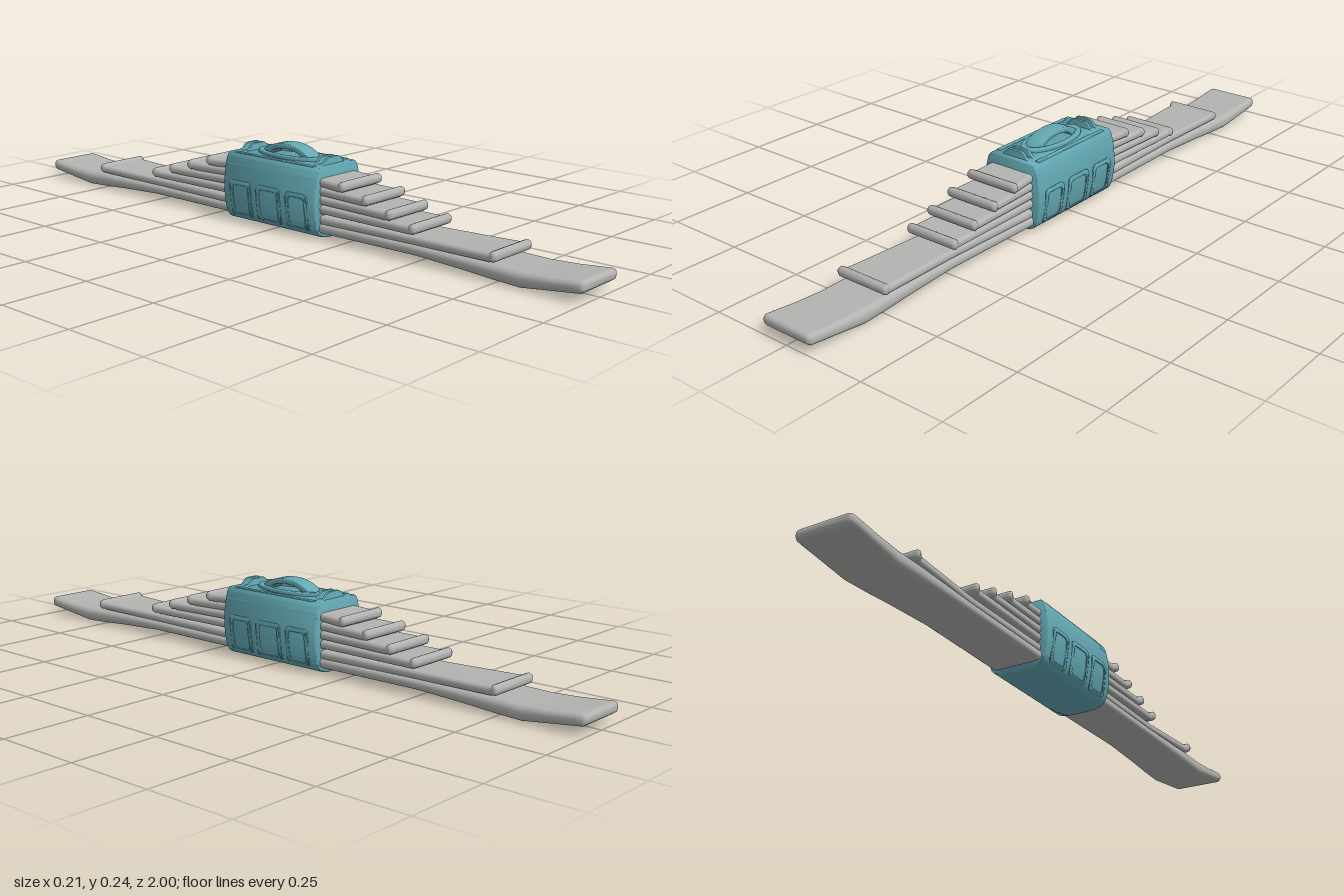
import * as THREE from 'three';
import { toCreasedNormals } from 'three/addons/utils/BufferGeometryUtils.js';

const steel = new THREE.MeshStandardMaterial({ color: 0xb3b4b2 });
steel.name = 'pale grey leaves';
const teal = new THREE.MeshStandardMaterial({ color: 0x63a9b4 });
teal.name = 'teal clamp';

// Soft rounded bar through stations [z, halfWidth, bottom, top], z increasing
function loft(stations) {
  const n = 28, pos = [], idx = [];
  const addRing = ([z, w, y0, y1]) => {
    const h = (y1 - y0) / 2, r = Math.min(h, w) * 0.85;
    for (let i = 0; i < n; i++) {
      const q = Math.floor(i / (n / 4)), a = (q + (i % (n / 4)) / (n / 4 - 1)) * Math.PI / 2;
      const sx = q === 0 || q === 3 ? 1 : -1, sy = q < 2 ? 1 : -1;
      pos.push(sx * (w - r) + r * Math.cos(a), (y0 + y1) / 2 + sy * (h - r) + r * Math.sin(a), z);
    }
  };
  stations.forEach(addRing);
  for (let s = 0; s < stations.length - 1; s++) {
    for (let i = 0; i < n; i++) {
      const a = s * n + i, b = s * n + (i + 1) % n;
      idx.push(a, b, a + n, b, b + n, a + n);
    }
  }
  // End caps
  const last = (stations.length - 1) * n;
  for (let i = 1; i < n - 1; i++) idx.push(0, i + 1, i, last, last + i, last + i + 1);
  const g = new THREE.BufferGeometry();
  g.setAttribute('position', new THREE.Float32BufferAttribute(pos, 3));
  g.setIndex(idx);
  g.computeVertexNormals();
  return g;
}

// Mirror the +z half of a leaf to get the full bar
const mirrored = half => [...half.slice().reverse().map(([z, ...r]) => [-z, ...r]), ...half];

function roundedRect(shape, x0, y0, x1, y1, r) {
  shape.moveTo(x0 + r, y0);
  shape.lineTo(x1 - r, y0);
  shape.quadraticCurveTo(x1, y0, x1, y0 + r);
  shape.lineTo(x1, y1 - r);
  shape.quadraticCurveTo(x1, y1, x1 - r, y1);
  shape.lineTo(x0 + r, y1);
  shape.quadraticCurveTo(x0, y1, x0, y1 - r);
  shape.lineTo(x0, y0 + r);
  shape.quadraticCurveTo(x0, y0, x0 + r, y0);
  return shape;
}

// Clamp half-profile [halfWidth, y] and its half-width at a height
const profile = [[0.042, 0], [0.07, 0.008], [0.087, 0.027], [0.096, 0.065], [0.099, 0.1],
  [0.097, 0.135], [0.091, 0.17], [0.083, 0.193], [0.074, 0.202]];
function halfWidth(y) {
  for (let i = 1; i < profile.length; i++) {
    const [w0, a] = profile[i - 1], [w1, b] = profile[i];
    if (y <= b) return w0 + (w1 - w0) * (y - a) / (b - a);
  }
  return 0.074;
}

// Extrude a profile along its third axis with a soft bevel, centred
function extrude(shape, depth, bevel) {
  const g = new THREE.ExtrudeGeometry(shape, {
    depth: depth - 2 * bevel, bevelEnabled: true, bevelThickness: bevel, bevelSize: bevel,
    bevelOffset: -bevel, bevelSegments: 3, curveSegments: 12,
  });
  g.translate(0, 0, -(depth - 2 * bevel) / 2);
  return g;
}

export function createModel() {
  const model = new THREE.Group();
  model.name = 'leafSpring';
  const add = (name, geometry, material, parent = model) => {
    const m = new THREE.Mesh(geometry, material);
    m.name = name;
    parent.add(m);
    return m;
  };

  // Longest leaf, dipping near its tips
  add('mainLeaf', loft(mirrored([
    [0.2, 0.078, 0.018, 0.046], [0.5, 0.076, 0.018, 0.046], [0.65, 0.08, 0.011, 0.046],
    [0.74, 0.083, 0.005, 0.046], [0.82, 0.084, 0.001, 0.044], [0.9, 0.084, 0.012, 0.047],
    [0.97, 0.085, 0.021, 0.053], [0.99, 0.084, 0.023, 0.055], [0.997, 0.08, 0.028, 0.052],
    [1, 0.073, 0.034, 0.046],
  ])), steel);

  // Shorter stacked leaves, each ending in a rolled bead
  const leaves = [[0.755, 0.042, 0.052], [0.505, 0.071, 0.076], [0.427, 0.097, 0.1],
    [0.347, 0.122, 0.125], [0.265, 0.147, 0.149]];
  leaves.forEach(([end, y, tip], i) => {
    const t = 0.023, b = tip - 0.001, long = i === 0;
    add('stackedLeaf' + (i + 1), loft(mirrored([
      [0.16, 0.075, y, y + t + 0.003], [long ? 0.5 : 0.18, long ? 0.07 : 0.076, y + 0.002, y + t + 0.003],
      [end - 0.024, 0.079, tip - 0.004, tip + t - 0.003], [end - 0.018, 0.083, b, b + 0.026],
      [end - 0.01, 0.087, b - 0.001, b + 0.029], [end - 0.003, 0.085, b + 0.003, b + 0.025],
      [end, 0.078, b + 0.009, b + 0.018],
    ])), steel);
  });

  // Clamp sleeve around the stack
  const clamp = new THREE.Group();
  clamp.name = 'clamp';
  model.add(clamp);
  const v = profile.map(([x, y]) => new THREE.Vector2(x, y));
  const outline = new THREE.Shape();
  outline.moveTo(-0.042, 0);
  outline.lineTo(0.042, 0);
  outline.splineThru(v.slice(1));
  outline.lineTo(-0.074, 0.202);
  outline.splineThru(v.slice(0, -1).reverse().map(p => new THREE.Vector2(-p.x, p.y)));
  outline.holes.push(roundedRect(new THREE.Path(), -0.08, 0.016, 0.08, 0.182, 0.014));
  add('sleeve', toCreasedNormals(extrude(outline, 0.352, 0.005), 0.8), teal, clamp);

  // Three framed panels on each side, bent to the bulge of the sleeve
  for (const side of [-1, 1]) {
    for (const [z, w] of [[-0.108, 0.042], [0, 0.047], [0.108, 0.042]]) {
      const frame = roundedRect(new THREE.Shape(), -w, 0.018, w, 0.126, 0.018);
      frame.holes.push(roundedRect(new THREE.Path(), -w + 0.013, 0.028, w - 0.013, 0.113, 0.011));
      const g = extrude(frame, 0.008, 0.002);
      g.rotateY(side * Math.PI / 2);
      const p = g.attributes.position;
      for (let i = 0; i < p.count; i++) {
        p.setX(i, p.getX(i) + side * halfWidth(p.getY(i)));
      }
      add('sidePanelFrame', toCreasedNormals(g, 0.6), teal, clamp).position.z = z;
    }
  }

  // Raised lip along the upper edges
  for (const side of [-1, 1]) {
    const lip = extrude(roundedRect(new THREE.Shape(), -0.007, -0.005, 0.007, 0.005, 0.004), 0.3, 0.002);
    add('topLip', toCreasedNormals(lip, 0.7), teal, clamp).position.set(side * 0.069, 0.199, 0);
  }

  // Oval collar beneath the handle
  const oval = new THREE.Shape().absellipse(0, 0, 0.056, 0.118, 0, Math.PI * 2);
  oval.holes.push(new THREE.Path().absellipse(0, 0, 0.041, 0.097, 0, Math.PI * 2));
  const collar = extrude(oval, 0.016, 0.004);
  collar.rotateX(-Math.PI / 2);
  add('ovalCollar', toCreasedNormals(collar, 0.7), teal, clamp).position.y = 0.204;

  // Arched carrying handle
  const arch = new THREE.Shape();
  arch.moveTo(-0.098, 0.198);
  arch.bezierCurveTo(-0.07, 0.252, 0.07, 0.252, 0.098, 0.198);
  arch.lineTo(0.068, 0.198);
  arch.bezierCurveTo(0.05, 0.232, -0.05, 0.232, -0.068, 0.198);
  const handle = extrude(arch, 0.05, 0.003);
  handle.rotateY(Math.PI / 2);
  add('handle', toCreasedNormals(handle, 0.7), teal, clamp);

  // Pairs of small curved ridges at both ends of the top
  for (const z of [-0.155, -0.133, 0.133, 0.155]) {
    const ridge = new THREE.Shape();
    ridge.moveTo(-0.058, 0.198);
    ridge.bezierCurveTo(-0.03, 0.205, -0.035, 0.222, -0.015, 0.222);
    ridge.lineTo(0.015, 0.222);
    ridge.bezierCurveTo(0.035, 0.222, 0.03, 0.205, 0.058, 0.198);
    add('topRidge', toCreasedNormals(extrude(ridge, 0.01, 0.002), 0.7), teal, clamp).position.z = z;
  }
  return model;
}
